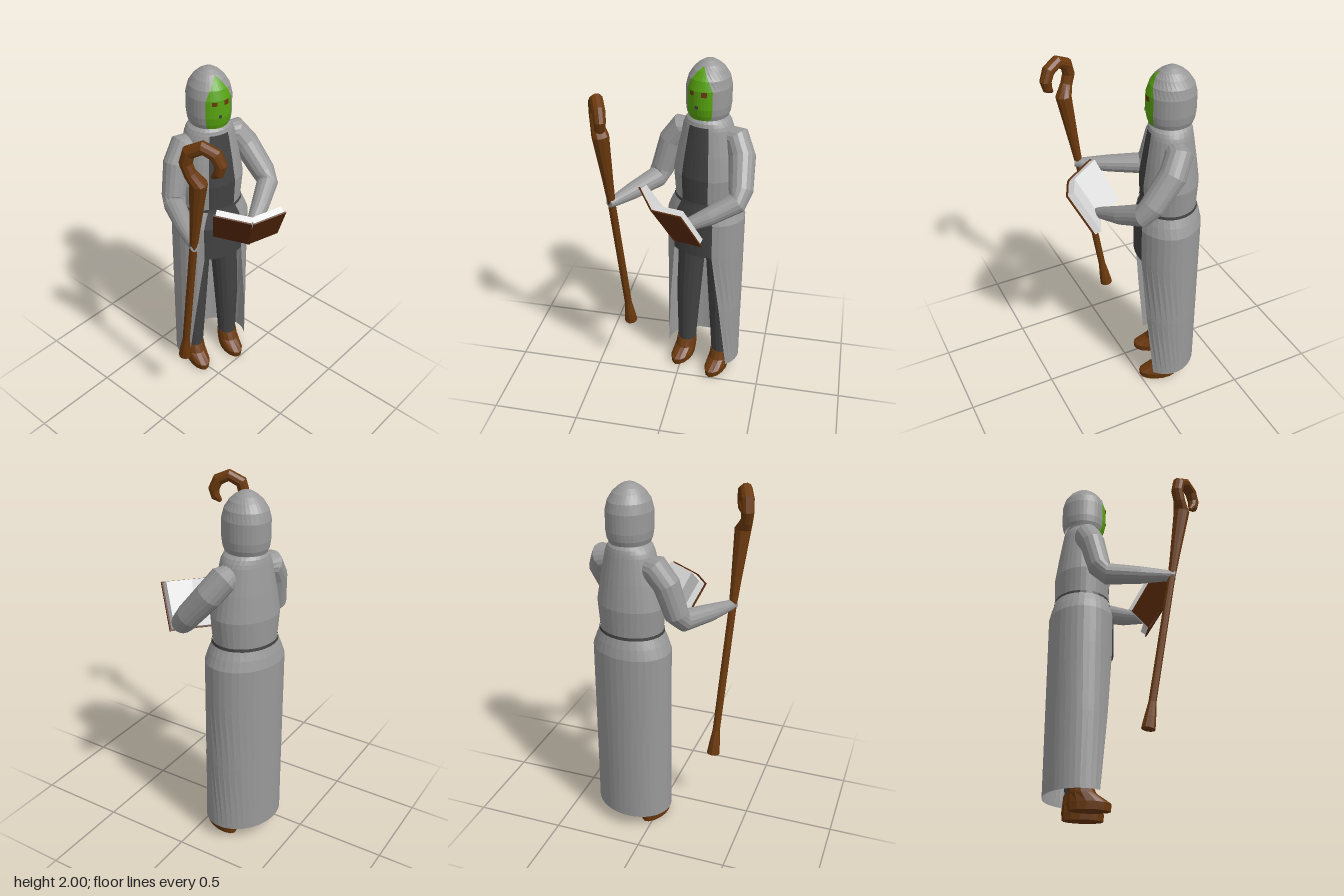
import * as THREE from 'three';

const V = (x, y, z) => new THREE.Vector3(x, y, z);
const TURN = 0.33; // the figure is turned slightly to its right

function material(name, color, side = THREE.FrontSide) {
  const m = new THREE.MeshStandardMaterial({ color, side });
  m.name = name;
  return m;
}

// Faceted skin over a list of equally long rings
function loft(rings) {
  const n = rings[0].length;
  const index = [];
  for (let i = 0; i < rings.length - 1; i++) {
    for (let j = 0; j < n - 1; j++) {
      const a = i * n + j, c = a + n;
      index.push(a, a + 1, c, a + 1, c + 1, c);
    }
  }
  const g = new THREE.BufferGeometry().setFromPoints(rings.flat());
  g.setIndex(index);
  const flat = g.toNonIndexed();
  flat.computeVertexNormals();
  return flat;
}

// Elliptical shell, rows bottom to top: [y, rx, rz, startAngle, endAngle, zOffset]; angle 0 is the front
function shell(rows, segments = 28) {
  return loft(rows.map(([y, rx, rz, from = -Math.PI, to = Math.PI, cz = 0]) =>
    Array.from({ length: segments + 1 }, (_, j) => {
      const t = from + (to - from) * j / segments;
      return V(rx * Math.sin(t), y, cz + rz * Math.cos(t));
    })));
}

// Closed tapered tube through points [x, y, z, radius]
function limb(points, sides = 16) {
  const p = points.map(q => V(q[0], q[1], q[2]));
  const last = p.length - 1;
  const u = V(0, 0, 0);
  let before = null;
  const rings = p.map((c, i) => {
    const t = p[Math.min(i + 1, last)].clone().sub(p[Math.max(i - 1, 0)]).normalize();
    if (before) u.applyQuaternion(new THREE.Quaternion().setFromUnitVectors(before, t));
    else u.crossVectors(t, Math.abs(t.x) < 0.8 ? V(1, 0, 0) : V(0, 0, 1)).normalize();
    before = t;
    const v = t.clone().cross(u);
    return Array.from({ length: sides + 1 }, (_, j) => {
      const a = j / sides * Math.PI * 2, r = points[i][3];
      return c.clone().addScaledVector(u, r * Math.cos(a)).addScaledVector(v, r * Math.sin(a));
    });
  });
  const cap = c => Array.from({ length: sides + 1 }, () => c.clone());
  return loft([cap(p[0]), ...rings, cap(p[last])]);
}

export function createModel() {
  const model = new THREE.Group();
  const cloth = material('grey cloth', 0x999999, THREE.DoubleSide);
  const dark = material('dark cloth', 0x424242, THREE.DoubleSide);
  const skin = material('green skin', 0x58a510, THREE.DoubleSide);
  const wood = material('brown wood and leather', 0x6b390d);
  const cover = material('book cover brown', 0x5c2c0c);
  const paper = material('paper', 0xe2e2e2);

  const add = (parent, name, geometry, mat) => {
    const mesh = new THREE.Mesh(geometry, mat);
    mesh.name = name;
    parent.add(mesh);
    return mesh;
  };

  // Body, turned as a whole
  const body = new THREE.Group();
  body.name = 'body';
  body.position.set(0.135, 0, -0.19);
  body.rotation.y = -TURN;
  model.add(body);

  // Open-fronted shell row: the gap is the half angle left open at the front
  const open = (y, rx, rz, gap) => [y, rx, rz, gap, 2 * Math.PI - gap];

  add(body, 'robeSkirt', shell([
    open(0.09, 0.229, 0.185, 1.08), open(0.5, 0.229, 0.185, 0.81), open(0.89, 0.229, 0.185, 0.56),
    open(1.1, 0.229, 0.185, 0.56), open(1.155, 0.207, 0.172, 0.53), open(1.21, 0.18, 0.155, 0.48),
  ]), cloth);
  add(body, 'robeChest', shell([
    open(1.21, 0.18, 0.153, 0.45), open(1.36, 0.195, 0.16, 0.43),
    open(1.5, 0.17, 0.141, 0.43), open(1.635, 0.14, 0.12, 0.43), open(1.66, 0.13, 0.115, 0.43),
  ]), cloth);
  add(body, 'collar', shell([
    [1.655, 0.133, 0.117], [1.675, 0.12, 0.112], [1.69, 0.1, 0.1], [1.705, 0.1, 0.1],
  ]), cloth);
  add(body, 'tunicSkirt', shell([
    [0.89, 0.224, 0.181, -1, 1], [1.1, 0.224, 0.181, -1, 1], [1.21, 0.176, 0.151, -1, 1],
  ], 12), dark);
  add(body, 'tunicChest', shell([
    [1.21, 0.176, 0.149, -0.8, 0.8], [1.36, 0.191, 0.156, -0.8, 0.8],
    [1.5, 0.166, 0.137, -0.8, 0.8], [1.66, 0.126, 0.112, -0.8, 0.8],
  ], 10), dark);
  add(body, 'belt', shell([[1.202, 0.187, 0.161], [1.218, 0.184, 0.158]]), dark);

  // Head and pointed hood opening
  add(body, 'hood', shell([
    open(1.695, 0.106, 0.114, 0.6), open(1.72, 0.115, 0.124, 0.65), open(1.76, 0.12, 0.13, 0.67),
    open(1.86, 0.12, 0.13, 0.67), open(1.91, 0.108, 0.117, 0.5), open(1.95, 0.083, 0.09, 0.28),
    open(1.975, 0.057, 0.061, 0), open(1.992, 0.03, 0.032, 0), open(2, 0, 0, 0),
  ]), cloth);
  add(body, 'face', shell([
    [1.695, 0.1, 0.113, -1, 1], [1.72, 0.109, 0.122, -1, 1], [1.76, 0.114, 0.13, -1, 1],
    [1.86, 0.114, 0.13, -1, 1], [1.91, 0.102, 0.114, -1, 1], [1.95, 0.078, 0.086, -1, 1],
    [1.975, 0.052, 0.057, -1, 1],
  ], 12), skin);
  const spot = (name, y, angle, w, h, mat) => add(body, name, shell([
    [y - h, 0.117, 0.133, angle - w, angle + w], [y + h, 0.117, 0.133, angle - w, angle + w],
  ], 3), mat);
  spot('leftEye', 1.845, 0.31, 0.13, 0.014, wood);
  spot('rightEye', 1.845, -0.3, 0.11, 0.011, wood);
  spot('mouth', 1.772, -0.03, 0.08, 0.009, dark);

  // Legs and boots
  for (const [side, s] of [['left', 1], ['right', -1]]) {
    add(body, side + 'Leg', limb([
      [s * 0.085, 1.0, 0, 0.08], [s * 0.09, 0.85, 0, 0.08], [s * 0.11, 0.5, 0, 0.073], [s * 0.12, 0.1, 0, 0.054],
    ]), dark);
    add(body, side + 'Boot', shell([
      [0, 0, 0, -Math.PI, Math.PI, 0.045], [0, 0.055, 0.11, -Math.PI, Math.PI, 0.045],
      [0.04, 0.062, 0.115, -Math.PI, Math.PI, 0.045], [0.085, 0.062, 0.075, -Math.PI, Math.PI, 0.01],
      [0.135, 0.06, 0.06], [0.135, 0, 0],
    ], 14), wood).position.x = s * 0.12;
  }

  // Sleeved arms: one reaches the staff, the other the book
  add(model, 'rightArm', limb([
    [0.05, 1.585, -0.225, 0.055], [-0.015, 1.58, -0.24, 0.075], [-0.075, 1.5, -0.235, 0.072],
    [-0.125, 1.33, -0.215, 0.065], [-0.15, 1.285, -0.18, 0.06],
    [-0.245, 1.275, -0.02, 0.048], [-0.32, 1.272, 0.115, 0.03], [-0.34, 1.272, 0.145, 0.024],
  ]), cloth);
  add(model, 'leftArm', limb([
    [0.23, 1.59, -0.165, 0.055], [0.295, 1.58, -0.155, 0.073], [0.335, 1.5, -0.1, 0.073],
    [0.35, 1.36, 0.02, 0.066], [0.335, 1.31, 0.065, 0.06],
    [0.2, 1.245, 0.125, 0.05], [0.065, 1.19, 0.175, 0.032], [0.02, 1.17, 0.19, 0.022],
  ]), cloth);

  // Staff with a crook lying in a slanted plane
  const crook = [
    [0.16, 1.745, 0.033], [0.142, 1.8, 0.034], [0.157, 1.86, 0.035], [0.22, 1.896, 0.034],
    [0.278, 1.868, 0.034], [0.3, 1.815, 0.032], [0.29, 1.772, 0.027], [0.262, 1.745, 0.01],
  ].map(([z, y, r]) => [-0.39 + (z - 0.14) * 0.44, y, z, r]);
  const shaft = [
    [0.375, 0.037], [0.44, 0.031], [0.52, 0.021], [0.9, 0.021], [1.25, 0.021], [1.4, 0.028], [1.69, 0.045],
  ].map(([y, r]) => {
    const k = (y - 0.375) / 1.315;
    return [-0.285 - 0.07 * k, y, -0.01 + 0.2 * k, r];
  });
  add(model, 'staff', limb([...shaft, ...crook], 10), wood);

  // Open book: two leaves sharing a spine, each a cover with a block of pages
  const book = new THREE.Group();
  book.name = 'book';
  model.add(book);
  const down = V(0.1, -0.235, -0.11);
  const spine = V(-0.075, 1.35, 0.305);
  const leaf = (side, from, to, spineSign) => {
    const across = to.clone().sub(from);
    const width = across.length(), height = down.length();
    const x = across.normalize();
    const z = x.clone().cross(down).normalize();
    const y = z.clone().cross(x);
    const group = new THREE.Group();
    group.name = side + 'Leaf';
    group.applyMatrix4(new THREE.Matrix4().makeBasis(x, y, z));
    group.position.copy(from).addScaledVector(x, width / 2).addScaledVector(down, 0.5);
    book.add(group);
    add(group, side + 'Cover', new THREE.BoxGeometry(width, height, 0.008), cover).position.z = 0.004;
    add(group, side + 'Pages', new THREE.BoxGeometry(width - 0.012, height - 0.014, 0.036), paper)
      .position.set(spineSign * 0.004, 0, 0.026);
  };
  leaf('right', V(-0.178, 1.375, 0.13), spine, 1);
  leaf('left', spine, V(0.09, 1.375, 0.38), -1);

  return model;
}
